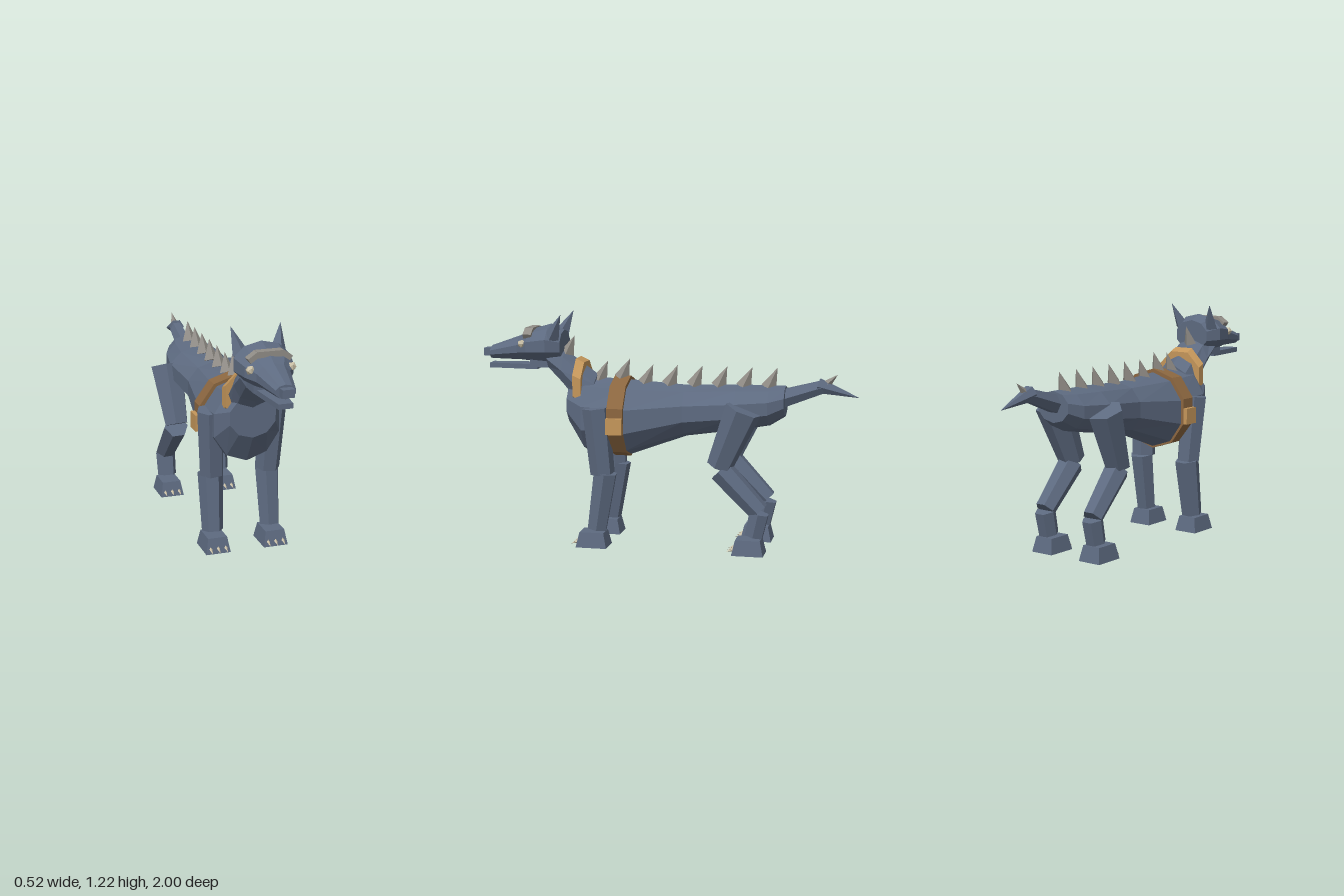
import * as THREE from 'three';

const mat = (name, color) => {
  const m = new THREE.MeshStandardMaterial({ color, flatShading: true });
  m.name = name;
  return m;
};

// Closed loft along z; each section is [z, centreY, halfWidth, halfHeight], front to back
function loftGeometry(sections, n = 10, turn = 0) {
  const pos = [];
  const pt = (j, i) => {
    const [z, cy, rx, ry] = sections[j];
    const a = ((i + turn) / n) * Math.PI * 2;
    return [rx * Math.sin(a), cy + ry * Math.cos(a), z];
  };
  const last = sections.length - 1;
  const mid = (j) => [0, sections[j][1], sections[j][0]];
  for (let i = 0; i < n; i++) {
    for (let j = 0; j < last; j++) {
      pos.push(...pt(j, i), ...pt(j, i + 1), ...pt(j + 1, i));
      pos.push(...pt(j, i + 1), ...pt(j + 1, i + 1), ...pt(j + 1, i));
    }
    pos.push(...mid(0), ...pt(0, i + 1), ...pt(0, i));
    pos.push(...mid(last), ...pt(last, i), ...pt(last, i + 1));
  }
  const g = new THREE.BufferGeometry();
  g.setAttribute('position', new THREE.Float32BufferAttribute(pos, 3));
  g.computeVertexNormals();
  return g;
}

// Box whose top face shrinks to the given fractions
function taperedBox(w, h, d, tx, tz) {
  const g = new THREE.BoxGeometry(w, h, d);
  const p = g.attributes.position;
  for (let i = 0; i < p.count; i++) {
    if (p.getY(i) > 0) p.setXYZ(i, p.getX(i) * tx, p.getY(i), p.getZ(i) * tz);
  }
  g.computeVertexNormals();
  return g;
}

export function createModel() {
  const root = new THREE.Group();
  root.name = 'spinedHound';
  const hide = mat('slateHide', 0x5d6a80);
  const horn = mat('greyHorn', 0x918d87);
  const leather = mat('brownLeather', 0x8c6740);
  const tan = mat('tanLeather', 0xc4965a);
  const bone = mat('paleBone', 0xc9bfa6);

  const add = (name, geo, material, x = 0, y = 0, z = 0) => {
    const m = new THREE.Mesh(geo, material);
    m.name = name;
    m.position.set(x, y, z);
    root.add(m);
    return m;
  };
  // Tapered prism from point a to point b
  const prism = (name, a, b, ra, rb, n, material, start = 0) => {
    const A = new THREE.Vector3(...a), B = new THREE.Vector3(...b);
    const dir = B.clone().sub(A);
    const m = add(name, new THREE.CylinderGeometry(rb, ra, dir.length(), n, 1, false, start), material);
    m.position.copy(A).add(B).multiplyScalar(0.5);
    m.quaternion.setFromUnitVectors(new THREE.Vector3(0, 1, 0), dir.normalize());
    return m;
  };

  // Trunk, neck and head
  add('body', loftGeometry([
    [0.52, 0.74, 0.125, 0.11], [0.43, 0.68, 0.18, 0.2], [0.2, 0.67, 0.195, 0.2],
    [-0.1, 0.715, 0.15, 0.135], [-0.37, 0.74, 0.17, 0.12],
    [-0.54, 0.755, 0.14, 0.105], [-0.62, 0.78, 0.1, 0.08],
  ]), hide);
  add('neck', loftGeometry([
    [0.63, 0.98, 0.108, 0.065], [0.55, 0.92, 0.112, 0.095], [0.38, 0.75, 0.12, 0.145],
  ], 8), hide);
  add('head', loftGeometry([
    [0.56, 1.04, 0.105, 0.085], [0.63, 1.05, 0.148, 0.105], [0.74, 1.04, 0.128, 0.085],
    [0.8, 1.025, 0.088, 0.065], [0.96, 0.998, 0.052, 0.035],
  ].reverse(), 10), hide);
  add('nose', new THREE.BoxGeometry(0.06, 0.04, 0.06), hide, 0, 1.0, 0.97);
  const jaw = add('lowerJaw', taperedBox(0.12, 0.27, 0.026, 0.6, 1), hide, 0, 0.93, 0.83);
  jaw.rotation.x = Math.PI / 2;
  add('jawHinge', new THREE.BoxGeometry(0.15, 0.05, 0.1), hide, 0, 0.955, 0.68);

  // Brow band: flat centre with sloping ends
  add('browBand', new THREE.BoxGeometry(0.13, 0.03, 0.045), horn, 0, 1.122, 0.735);
  for (const s of [1, -1]) {
    const end = add('browEnd', new THREE.BoxGeometry(0.055, 0.026, 0.045), horn, s * 0.082, 1.11, 0.735);
    end.rotation.z = -s * 0.6;
    add('eye', new THREE.IcosahedronGeometry(0.023, 0), bone, s * 0.103, 1.056, 0.765);
    prism('ear', [s * 0.095, 1.09, 0.605], [s * 0.127, 1.215, 0.545], 0.042, 0, 4, hide);
  }

  // Tail
  prism('tail', [0, 0.78, -0.56], [0, 0.86, -0.81], 0.055, 0.037, 6, hide, Math.PI / 6);
  prism('tailTip', [0, 0.866, -0.785], [0, 0.807, -1], 0.042, 0, 6, hide, Math.PI / 6);
  prism('tailSpike', [0, 0.86, -0.815], [0, 0.925, -0.885], 0.028, 0, 4, horn);

  // Spines leaning backwards along the back
  const spines = [[0.545, 1.0], [0.365, 0.87], [0.245, 0.885]];
  for (let k = 0; k < 6; k++) spines.push([0.12 - k * 0.131, 0.857]);
  for (const [z, y] of spines) {
    prism('backSpine', [0, y - 0.01, z + 0.005], [0, y + 0.095, z - 0.04], 0.042, 0, 4, horn);
  }

  // Harness
  add('collar', loftGeometry([[0.485, 0.845, 0.14, 0.145], [0.44, 0.825, 0.145, 0.145]], 8, 0.5), tan);
  add('chestStrap', loftGeometry([[0.285, 0.675, 0.212, 0.215], [0.2, 0.675, 0.212, 0.215]]), leather);
  for (const s of [1, -1]) {
    add('buckle', new THREE.BoxGeometry(0.03, 0.085, 0.085), tan, s * 0.208, 0.65, 0.243);
  }

  // Legs: [name, start, end, start radius, end radius]
  const segments = [
    ['frontUpperLeg', [0.165, 0.74, 0.35], [0.15, 0.39, 0.32], 0.072, 0.064],
    ['frontLowerLeg', [0.152, 0.395, 0.305], [0.155, 0.092, 0.35], 0.066, 0.055],
    ['hindThigh', [0.165, 0.755, -0.425], [0.15, 0.452, -0.3], 0.096, 0.068],
    ['hindShin', [0.15, 0.435, -0.308], [0.155, 0.225, -0.51], 0.067, 0.054],
    ['hindHock', [0.155, 0.218, -0.51], [0.155, 0.095, -0.483], 0.055, 0.052],
  ];
  for (const s of [1, -1]) {
    for (const [name, a, b, ra, rb] of segments) {
      prism(name, [s * a[0], a[1], a[2]], [s * b[0], b[1], b[2]], ra, rb, 6, hide, Math.PI / 6);
    }
    for (const [name, z] of [['frontPaw', 0.37], ['hindPaw', -0.457]]) {
      add(name, taperedBox(0.13, 0.08, 0.165, 0.78, 0.78), hide, s * 0.155, 0.04, z);
      for (const dx of [-0.04, 0, 0.04]) {
        prism('claw', [s * 0.155 + dx, 0.03, z + 0.065], [s * 0.155 + dx, 0.014, z + 0.113], 0.011, 0, 4, bone);
      }
    }
  }
  return root;
}
